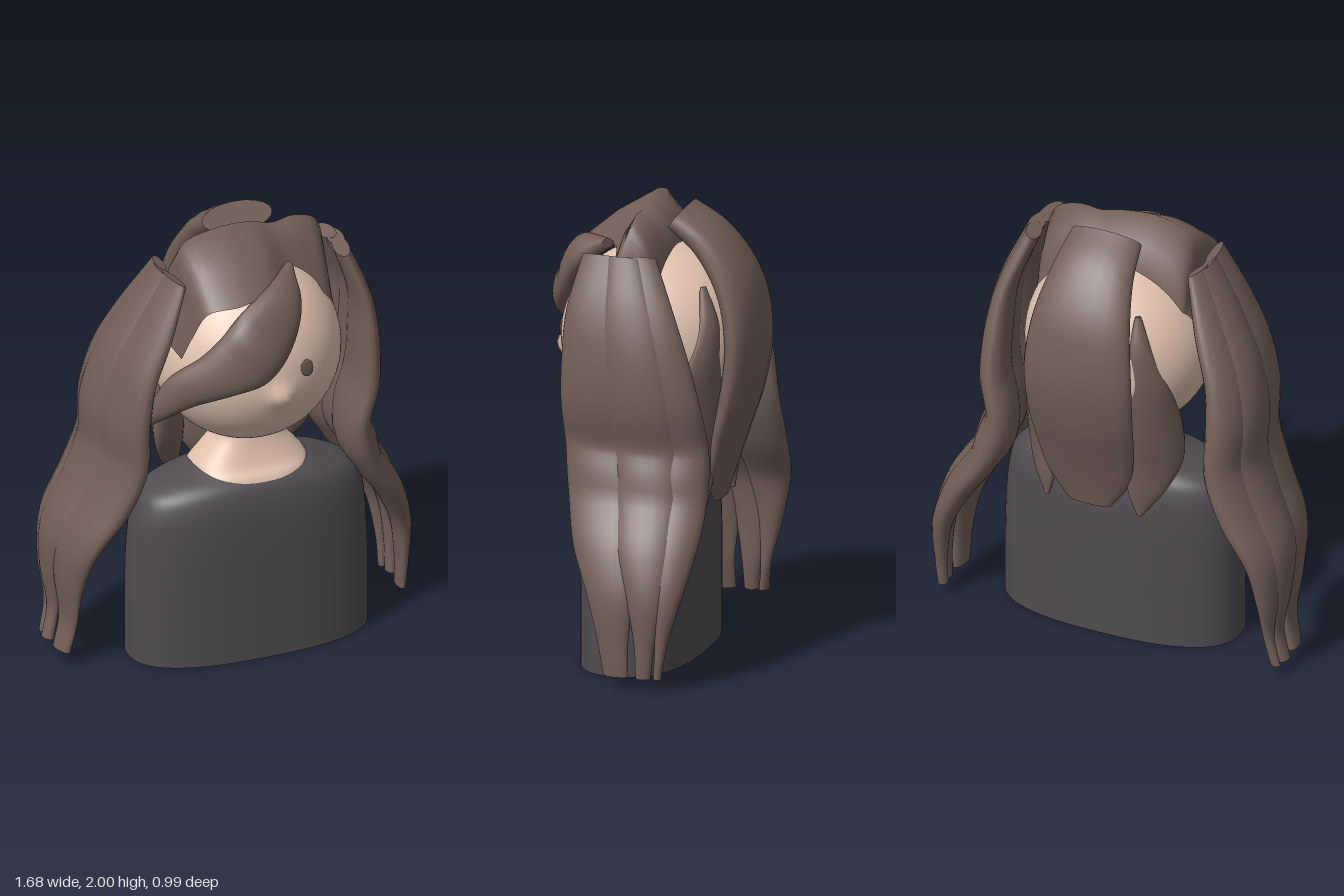
import * as THREE from 'three';

const V = (x, y, z) => new THREE.Vector3(x, y, z);
const mat = (name, color, side = THREE.FrontSide) => {
  const m = new THREE.MeshStandardMaterial({ color, side });
  m.name = name;
  return m;
};

// Skin a stack of closed rings (counter-clockwise about the sweep) with flat end caps
function loft(rings) {
  const n = rings[0].length, pos = [], idx = [];
  rings.forEach(r => r.forEach(p => pos.push(p.x, p.y, p.z)));
  for (let i = 0; i < rings.length - 1; i++) {
    for (let j = 0; j < n; j++) {
      const a = i * n + j, b = i * n + (j + 1) % n;
      idx.push(a, b, a + n, b, b + n, a + n);
    }
  }
  for (const [ring, end] of [[rings[0], false], [rings[rings.length - 1], true]]) {
    const base = pos.length / 3;
    const c = ring.reduce((s, p) => s.add(p), V(0, 0, 0)).divideScalar(n);
    [...ring, c].forEach(p => pos.push(p.x, p.y, p.z));
    for (let j = 0; j < n; j++) {
      const a = base + j, b = base + (j + 1) % n;
      idx.push(base + n, end ? a : b, end ? b : a);
    }
  }
  return surface(pos, idx);
}

function surface(pos, idx) {
  const g = new THREE.BufferGeometry();
  g.setAttribute('position', new THREE.Float32BufferAttribute(pos, 3));
  g.setIndex(idx);
  g.computeVertexNormals();
  return g;
}

// Lock of hair between two edge lines; each station is [edge A xyz, edge B xyz, half thickness]
function lock(stations, steps = 40, sides = 20) {
  const curve = f => new THREE.CatmullRomCurve3(stations.map(f));
  const ea = curve(s => V(s[0], s[1], s[2]));
  const eb = curve(s => V(s[3], s[4], s[5]));
  const th = curve(s => V(s[6], 0, 0));
  const mid = t => ea.getPoint(t).add(eb.getPoint(t)).multiplyScalar(0.5);
  const rings = [];
  for (let i = 0; i <= steps; i++) {
    const t = i / steps, c = mid(t);
    const T = mid(Math.min(1, t + 0.01)).sub(mid(Math.max(0, t - 0.01)));
    const W = ea.getPoint(t).sub(c);
    const N = T.cross(W).normalize().multiplyScalar(th.getPoint(t).x);
    rings.push(Array.from({ length: sides }, (_, j) => {
      const a = j / sides * Math.PI * 2;
      return c.clone().addScaledVector(W, Math.cos(a)).addScaledVector(N, Math.sin(a));
    }));
  }
  return loft(rings);
}

// Upright form from levels of [y, half width, half depth], with rounded-box cross-sections
function upright(levels, power, cx, cz, sides = 64) {
  const curve = new THREE.CatmullRomCurve3(levels.map(l => V(l[1], l[0], l[2])));
  const sq = v => Math.sign(v) * Math.abs(v) ** (2 / power);
  return loft(curve.getPoints(levels.length * 5).map(p =>
    Array.from({ length: sides }, (_, j) => {
      const a = j / sides * Math.PI * 2;
      return V(cx + p.x * sq(Math.cos(a)), p.y, cz - p.z * sq(Math.sin(a)));
    })));
}

export function createModel() {
  const model = new THREE.Group();
  const skin = mat('skin', 0xe0c3ae);
  const hair = mat('hair brown', 0x745f57);
  const hairSheet = mat('hair brown sheet', 0x745f57, THREE.DoubleSide);
  const cloth = mat('dark cloth', 0x504c50);
  const add = (name, geo, material, parent = model) => {
    const m = new THREE.Mesh(geo, material);
    m.name = name;
    parent.add(m);
    return m;
  };

  // Torso and neck
  add('torso', upright([[0, 0.55, 0.25], [0.2, 0.55, 0.25], [0.4, 0.548, 0.25], [0.58, 0.538, 0.248],
    [0.7, 0.52, 0.24], [0.77, 0.487, 0.225], [0.815, 0.41, 0.205], [0.85, 0.3, 0.165], [0.87, 0.25, 0.13]],
    2.5, 0.035, 0.03), cloth);
  add('neck', upright([[0.78, 0.25, 0.22], [0.84, 0.26, 0.195], [0.875, 0.25, 0.165], [0.93, 0.205, 0.14],
    [1.0, 0.15, 0.12], [1.06, 0.14, 0.11]], 2.7, 0.04, 0.025), skin);

  // Head with the nose raised out of the sphere
  const head = new THREE.SphereGeometry(0.417, 80, 60);
  const hp = head.attributes.position;
  for (let i = 0; i < hp.count; i++) {
    const x = hp.getX(i), y = hp.getY(i), z = hp.getZ(i);
    if (z > 0) hp.setZ(i, z + 0.044 * Math.exp(-(x * x + (y + 0.075) ** 2) / 0.003));
  }
  head.computeVertexNormals();
  add('head', head, skin).position.set(0.042, 1.395, 0);

  // Eyes
  for (const s of [-1, 1]) {
    const rel = V(s * 0.122, 0.036, 0.399);
    const eye = add(s > 0 ? 'leftEye' : 'rightEye', new THREE.SphereGeometry(1, 24, 12), hair);
    eye.scale.set(0.033, 0.041, 0.006);
    eye.position.copy(rel).add(V(0.042, 1.395, 0));
    eye.lookAt(eye.position.clone().add(rel));
    eye.rotateZ(s * 0.35);
  }

  // Crown: a ridged sheet over the head; rows are [front hem xyz, ridge xyz, back hem y]
  const crownRows = [
    [-0.34, 1.48, 0.2, -0.36, 1.5, 0.03, 1.45],
    [-0.32, 1.62, 0.28, -0.31, 1.7, 0.04, 1.52],
    [-0.27, 1.74, 0.33, -0.275, 1.94, 0.04, 1.63],
    [-0.13, 1.77, 0.37, -0.12, 2.0, 0.05, 1.76],
    [0.02, 1.79, 0.32, 0.05, 1.995, 0.04, 1.79],
    [0.17, 1.81, 0.15, 0.15, 1.97, 0.04, 1.78],
    [0.3, 1.72, 0.13, 0.26, 1.98, 0.03, 1.72],
    [0.37, 1.6, 0.14, 0.37, 1.93, 0.02, 1.62],
    [0.43, 1.47, 0.11, 0.42, 1.6, 0.0, 1.47],
    [0.455, 1.38, 0.07, 0.455, 1.39, 0.0, 1.38],
  ];
  const steps = 54;
  const columns = [
    r => V(r[0], r[1], r[2]),
    r => V((r[0] + r[3]) / 2, (r[1] + r[4]) / 2 + 0.01, (r[2] + r[5]) / 2 + 0.01),
    r => V(r[3], r[4], r[5]),
    r => V(r[3], r[4] * 0.6 + r[6] * 0.4, -0.06),
    r => V(r[3], r[6], -0.09),
  ].map(f => new THREE.CatmullRomCurve3(crownRows.map(f)).getPoints(steps));
  const pos = [], idx = [];
  for (let i = 0; i <= steps; i++) {
    columns.forEach(c => pos.push(c[i].x, c[i].y, c[i].z));
    for (let j = 0; i < steps && j < 4; j++) {
      const a = i * 5 + j;
      idx.push(a, a + 5, a + 1, a + 1, a + 5, a + 6);
    }
  }
  add('crownHair', surface(pos, idx), hairSheet);

  // Fringe swept across the forehead
  add('fringe', lock([
    [0.165, 1.835, 0.17, 0.175, 1.8, 0.2, 0.025],
    [0.01, 1.81, 0.315, 0.155, 1.69, 0.345, 0.055],
    [-0.13, 1.74, 0.37, 0.075, 1.54, 0.425, 0.06],
    [-0.235, 1.63, 0.37, -0.05, 1.43, 0.465, 0.06],
    [-0.31, 1.54, 0.33, -0.2, 1.38, 0.43, 0.055],
    [-0.42, 1.44, 0.26, -0.34, 1.31, 0.33, 0.045],
    [-0.47, 1.33, 0.21, -0.45, 1.23, 0.25, 0.035],
    [-0.49, 1.22, 0.18, -0.485, 1.18, 0.19, 0.015],
  ]), hair);

  // Back hair: one broad lock with a narrow one on each side
  const back = new THREE.Group();
  back.name = 'backHair';
  model.add(back);
  const broad = [[1.945, -0.115, 0.165, 0.068], [1.84, -0.255, 0.19, 0.08], [1.65, -0.375, 0.23, 0.085],
    [1.42, -0.415, 0.255, 0.08], [1.2, -0.39, 0.25, 0.075], [1.0, -0.335, 0.23, 0.065],
    [0.83, -0.3, 0.19, 0.045], [0.7, -0.29, 0.1, 0.02]];
  add('backMiddleLock', lock(broad.map(([y, z, w, t]) => [0.055 + w, y, z, 0.055 - w, y, z, t])), hair, back);
  // Rows of [y, inner x, inner z, outer x, outer z, half thickness], x from the middle
  const narrow = [[1.68, 0.2, -0.28, 0.22, -0.26, 0.01], [1.52, 0.19, -0.33, 0.28, -0.27, 0.035],
    [1.35, 0.18, -0.34, 0.335, -0.23, 0.045], [1.1, 0.17, -0.33, 0.365, -0.14, 0.05],
    [0.92, 0.17, -0.31, 0.36, -0.13, 0.045], [0.79, 0.18, -0.3, 0.31, -0.2, 0.03],
    [0.68, 0.21, -0.28, 0.23, -0.27, 0.01]];
  for (const s of [-1, 1]) {
    add(s > 0 ? 'backLeftLock' : 'backRightLock', lock(narrow.map(([y, xi, zi, xo, zo, t]) =>
      [0.045 + s * xi, y, zi, 0.045 + s * xo, y, zo, t])), hair, back);
  }

  // Side tails: rows are [y, left inner x, left outer x, right inner x, right outer x, front z, back z]
  const tailRows = [
    [1.835, 0.4, 0.49, 0.31, 0.385, 0.22, -0.11],
    [1.6, 0.475, 0.59, 0.385, 0.53, 0.27, -0.22],
    [1.4, 0.48, 0.635, 0.46, 0.63, 0.285, -0.29],
    [1.2, 0.47, 0.64, 0.485, 0.68, 0.29, -0.34],
    [1.0, 0.425, 0.605, 0.49, 0.68, 0.28, -0.365],
    [0.8, 0.485, 0.665, 0.565, 0.75, 0.25, -0.375],
    [0.6, 0.62, 0.785, 0.69, 0.835, 0.19, -0.365],
    [0.4, 0.72, 0.84, 0.73, 0.84, 0.1, -0.32],
    [0.2, 0.755, 0.83, 0.75, 0.81, 0.045, -0.265],
    [0.06, 0.76, 0.82, 0.77, 0.84, 0.02, -0.24],
  ];
  // Strands: share of the tail's depth at the top and at the tips, and the sideways lean of each edge
  const strands = [
    ['frontStrand', 0, 0.58, 0, 0.44, -0.2, 0.08],
    ['middleStrand', 0.34, 0.84, 0.58, 0.84, 0.1, 0.1],
    ['backStrand', 0.58, 1, 0.88, 1, 0.06, -0.22],
  ];
  for (const s of [1, -1]) {
    const tail = new THREE.Group();
    tail.name = s > 0 ? 'leftTail' : 'rightTail';
    model.add(tail);
    for (const [name, a0, b0, a1, b1, la, lb] of strands) {
      add(name, lock(tailRows.map(r => {
        const [xi, xo] = s > 0 ? [r[1], r[2]] : [r[3], r[4]];
        const k = THREE.MathUtils.smoothstep(0.7 - r[0], 0, 0.64), w = xo - xi, x = (xi + xo) / 2;
        const z = f => THREE.MathUtils.lerp(r[5], r[6], f);
        const a = THREE.MathUtils.lerp(a0, a1, k), b = THREE.MathUtils.lerp(b0, b1, k);
        return [s * (x + w * la), r[0], z(a), s * (x + w * lb), r[0], z(b), w * 0.38];
      }), 48), hair, tail);
    }
  }
  return model;
}
